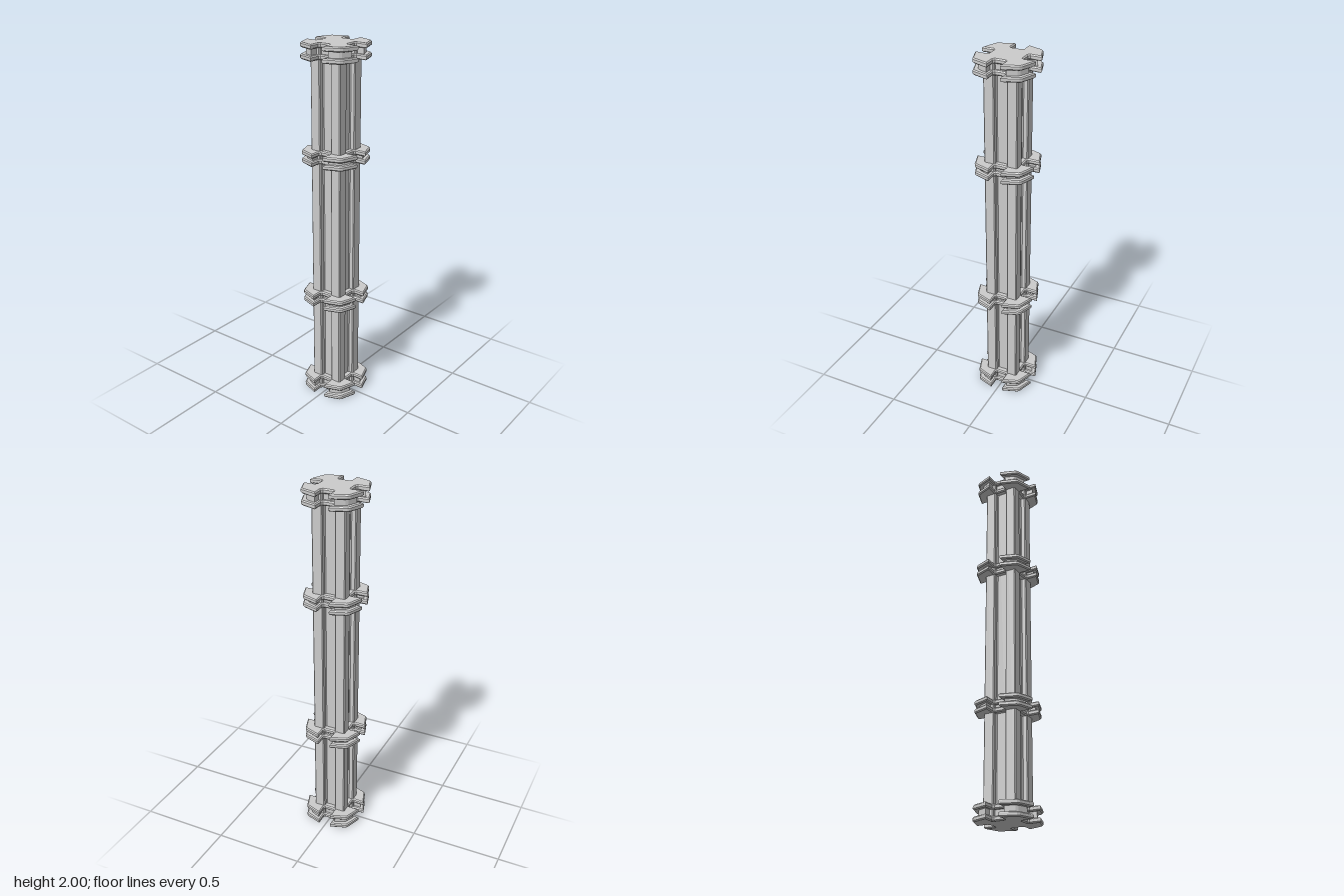
import * as THREE from 'three';

const material = new THREE.MeshStandardMaterial({ color: 0xcccccc, flatShading: true });

// Repeat a quarter outline four times around the centre
function fourfold(quarter) {
  const points = [];
  for (let i = 0; i < 4; i++) {
    for (const [x, y] of quarter) {
      points.push(new THREE.Vector2(x, y).rotateAround(new THREE.Vector2(), i * Math.PI / 2));
    }
  }
  return new THREE.Shape(points);
}

// Cross-shaped plate: splayed corner lobes with a notch in each side
function plateShape(tip, corner, notch, floor, round) {
  return fourfold([
    [floor, notch - round], [floor + round, notch], [tip, notch],
    [corner + 0.004, corner - 0.006], [corner - 0.006, corner + 0.004],
    [notch, tip], [notch, floor + round], [notch - round, floor],
  ]);
}

// Square post with a chamfered groove along each side
function shaftShape(half, notch, floor, cut) {
  return fourfold([
    [floor, notch - cut], [floor + cut, notch], [half - cut, notch], [half, notch + cut],
    [half, half - cut], [half - cut, half],
    [notch + cut, half], [notch, half - cut], [notch, floor + cut], [notch - cut, floor],
  ]);
}

// Upright extrusion from y0 to y1 with an optional bevelled rim
function slab(name, shape, y0, y1, bevel = 0) {
  const geometry = new THREE.ExtrudeGeometry(shape, {
    depth: y1 - y0 - 2 * bevel,
    bevelEnabled: bevel > 0,
    bevelThickness: bevel,
    bevelSize: bevel,
    bevelOffset: -bevel,
    bevelSegments: 1,
  });
  geometry.rotateX(-Math.PI / 2);
  geometry.translate(0, y0 + bevel, 0);
  const mesh = new THREE.Mesh(geometry, material);
  mesh.name = name;
  return mesh;
}

export function createModel() {
  const model = new THREE.Group();
  model.name = 'column';

  // Grooved shaft
  model.add(slab('shaft', shaftShape(0.093, 0.034, 0.063, 0.005), 0.01, 1.99));

  // Rings: two bevelled plates around a recessed collar
  const plate = plateShape(0.162, 0.128, 0.035, 0.092, 0.008);
  const collar = plateShape(0.134, 0.108, 0.052, 0.074, 0.006);
  const rings = [
    ['baseRing', 0, 0.085],
    ['lowerRing', 0.56, 0.63],
    ['upperRing', 1.373, 1.443],
    ['topRing', 1.915, 2],
  ];
  const thickness = 0.026;
  for (const [name, y0, y1] of rings) {
    const ring = new THREE.Group();
    ring.name = name;
    ring.add(
      slab('lowerPlate', plate, y0, y0 + thickness, 0.006),
      slab('collar', collar, y0 + thickness - 0.003, y1 - thickness + 0.003),
      slab('upperPlate', plate, y1 - thickness, y1, 0.006),
    );
    model.add(ring);
  }
  return model;
}
